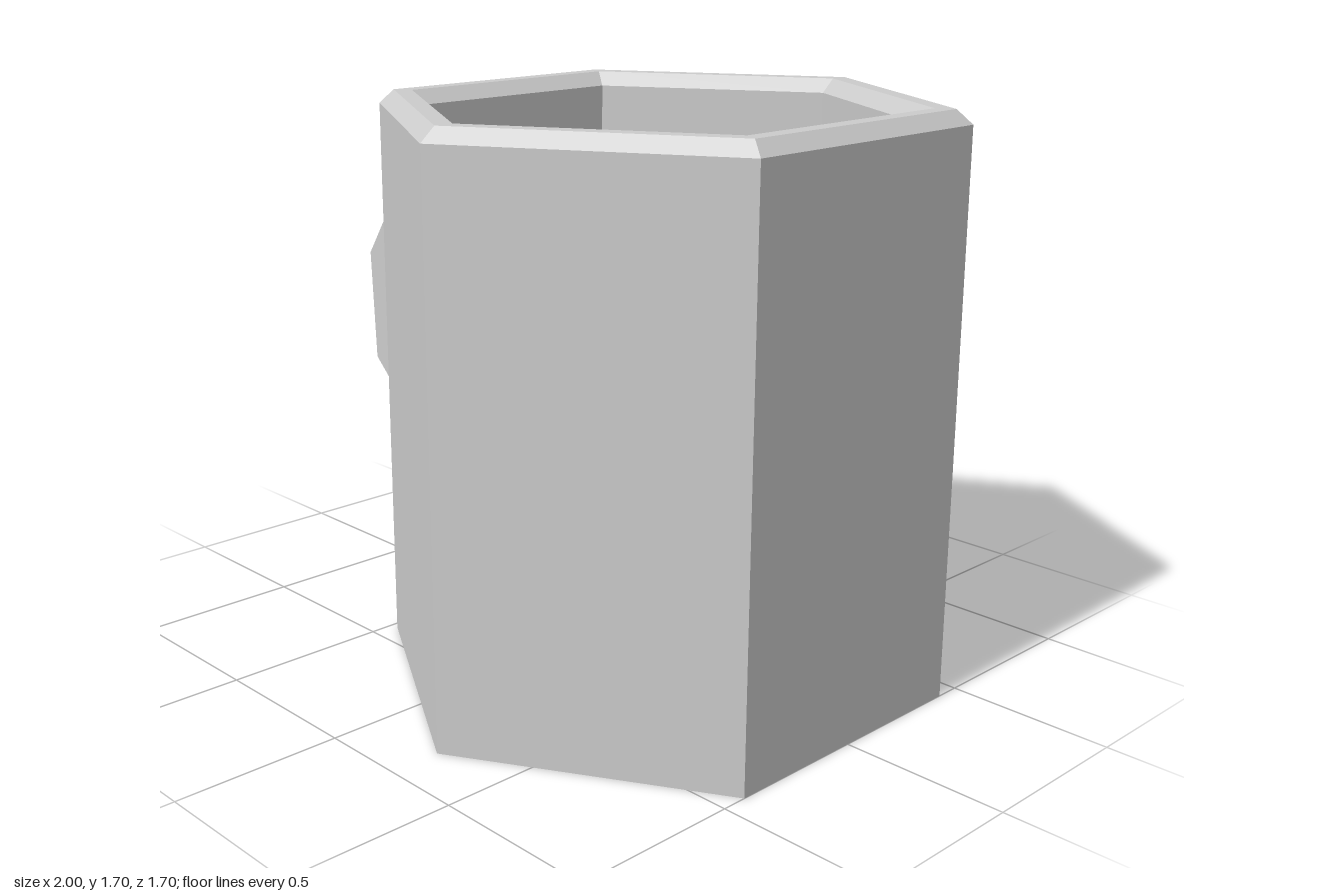
import * as THREE from 'three';

const mugGrey = new THREE.MeshStandardMaterial({ color: 0xcccccc });
mugGrey.name = 'mugGrey';

const points = (list) => list.map(([x, y]) => new THREE.Vector2(x, y));

// Separate the faces so that every side is shaded flat
function flatMesh(geometry, name) {
  const flat = geometry.index ? geometry.toNonIndexed() : geometry;
  flat.computeVertexNormals();
  const mesh = new THREE.Mesh(flat, mugGrey);
  mesh.name = name;
  return mesh;
}

export function createModel() {
  const mug = new THREE.Group();
  mug.name = 'mug';

  // Hollow six-sided cup: base, outer wall, bevelled rim, inner wall, floor
  const profile = points([
    [0, 0], [0.85, 0], [0.85, 1.66], [0.804, 1.7],
    [0.747, 1.7], [0.701, 1.66], [0.701, 0.13], [0, 0.13],
  ]);
  const cup = flatMesh(new THREE.LatheGeometry(profile, 6), 'cup');
  cup.position.x = 0.264;
  mug.add(cup);

  // Angular handle, its ends sunk slightly into the wall
  const outline = new THREE.Shape(points([
    [-0.45, 1.386], [-0.808, 1.372], [-1, 1.088], [-0.982, 0.73], [-0.665, 0.425], [-0.45, 0.369],
    [-0.45, 0.478], [-0.67, 0.545], [-0.906, 0.785], [-0.92, 1.043], [-0.73, 1.308], [-0.45, 1.317],
  ]));
  const width = 0.186;
  const handle = flatMesh(
    new THREE.ExtrudeGeometry(outline, { depth: width, bevelEnabled: false }), 'handle');
  handle.position.z = -width / 2;
  mug.add(handle);

  return mug;
}
